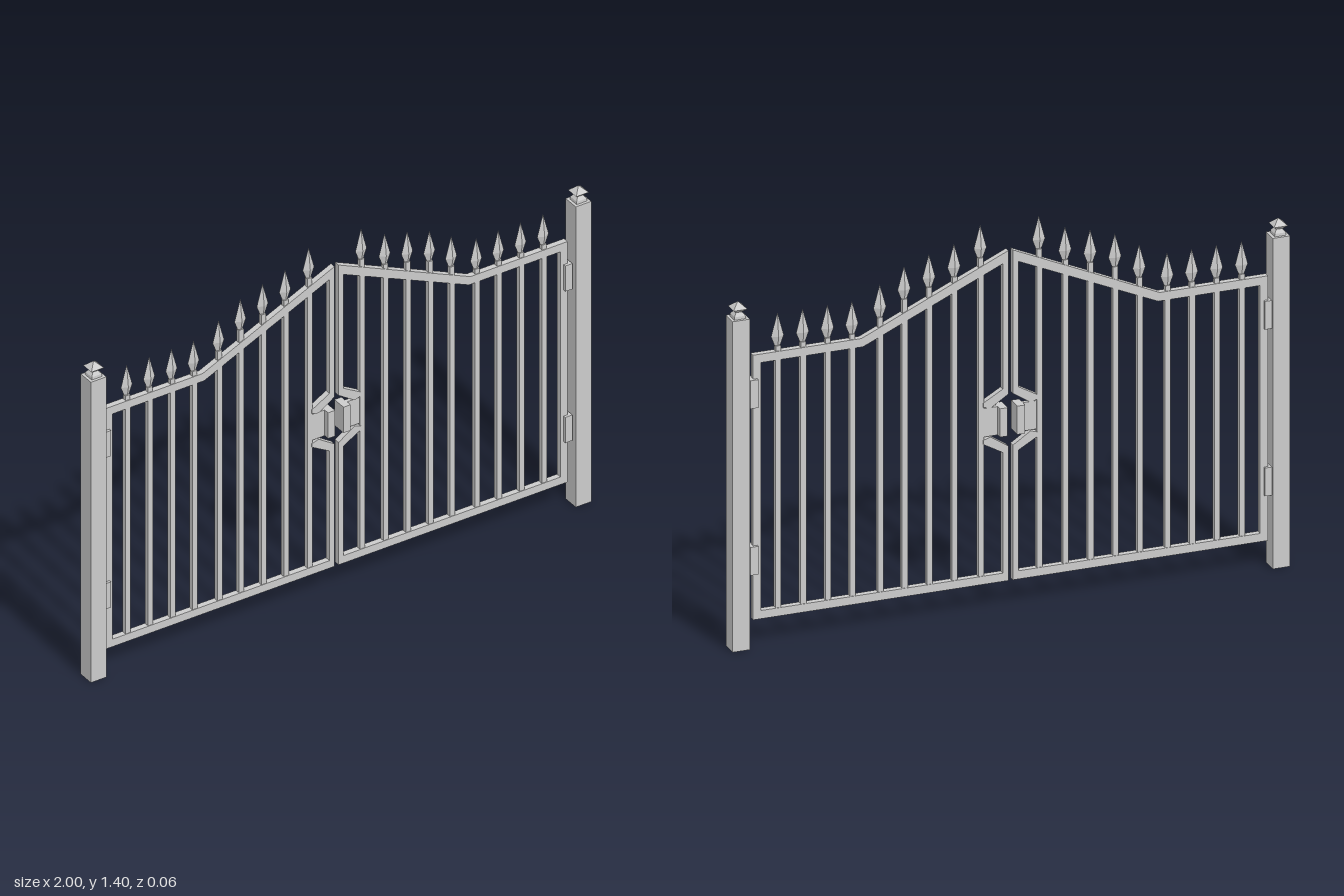
import * as THREE from 'three';

const material = new THREE.MeshStandardMaterial({ color: 0xcccccc, flatShading: true });

function add(parent, name, geometry, x = 0, y = 0, z = 0) {
  const mesh = new THREE.Mesh(geometry, material);
  mesh.name = name;
  mesh.position.set(x, y, z);
  parent.add(mesh);
  return mesh;
}

// Box given by its x and y limits and its full depth, centred on z = 0
function bar(parent, name, x0, x1, y0, y1, depth) {
  const geometry = new THREE.BoxGeometry(Math.abs(x1 - x0), y1 - y0, depth);
  return add(parent, name, geometry, (x0 + x1) / 2, (y0 + y1) / 2);
}

// Flat outline in the gate plane, extruded symmetrically about z = 0
function plate(parent, name, points, depth) {
  const shape = new THREE.Shape(points.map(([x, y]) => new THREE.Vector2(x, y)));
  const geometry = new THREE.ExtrudeGeometry(shape, { depth, bevelEnabled: false });
  geometry.translate(0, 0, -depth / 2);
  return add(parent, name, geometry);
}

// Distances are measured outward from the line where the leaves meet
const OUTER = 0.923, INNER = 0.008, KINK = 0.535;
const RAIL = 1.058, PEAK = 1.295, DEPTH = 0.022;
const railTop = (d) => (d > KINK ? RAIL : RAIL + ((KINK - d) / (KINK - INNER)) * (PEAK - RAIL));

// Picket distance and spear tip height
const pickets = [
  [0.832, 1.195], [0.742, 1.195], [0.653, 1.195], [0.565, 1.195], [0.465, 1.24],
  [0.378, 1.293], [0.289, 1.322], [0.199, 1.346], [0.105, 1.4],
];

// Flattened four-sided spearhead on a short shank
function spear(parent, x, tip) {
  const profile = [[0, -0.122], [0.009, -0.122], [0.023, -0.085], [0, 0]]
    .map(([r, y]) => new THREE.Vector2(r, y));
  const geometry = new THREE.LatheGeometry(profile, 4);
  geometry.scale(1, 1, 0.48);
  add(parent, 'spearhead', geometry, x, tip);
}

function createLeaf(side) {
  const leaf = new THREE.Group();
  leaf.name = side > 0 ? 'leftLeaf' : 'rightLeaf';
  leaf.position.x = -0.005;
  const s = (d) => side * d;
  const flip = (points) => points.map(([d, y]) => [s(d), y]);

  // Frame
  bar(leaf, 'bottomRail', s(INNER), s(OUTER), 0.097, 0.127, DEPTH);
  bar(leaf, 'outerStile', s(OUTER - 0.028), s(OUTER), 0.127, 1.03, DEPTH);
  plate(leaf, 'topRail', flip([
    [OUTER, RAIL], [KINK, RAIL], [INNER, PEAK],
    [INNER, PEAK - 0.036], [KINK - 0.006, RAIL - 0.031], [OUTER, RAIL - 0.031],
  ]), DEPTH);
  bar(leaf, 'innerStileLower', s(INNER), s(INNER + 0.02), 0.127, 0.58, DEPTH);
  bar(leaf, 'innerStileUpper', s(INNER), s(INNER + 0.02), 0.78, 1.26, DEPTH);

  // Pickets with spearheads
  for (const [d, tip] of pickets) {
    bar(leaf, 'picket', s(d - 0.01), s(d + 0.01), 0.127, railTop(d) - 0.02, 0.018);
    bar(leaf, 'spearShank', s(d - 0.009), s(d + 0.009), railTop(d) - 0.025, tip - 0.118, 0.016);
    spear(leaf, s(d), tip);
  }

  // Slanted braces around the latch, mirrored about its middle height
  const mid = 0.68;
  for (const v of [1, -1]) {
    plate(leaf, 'latchBrace', flip([
      [INNER, mid + v * 0.115], [INNER + 0.02, mid + v * 0.115], [0.098, mid + v * 0.075],
      [0.098, mid + v * 0.06], [0.072, mid + v * 0.052], [INNER, mid + v * 0.094],
    ]), DEPTH);
  }
  bar(leaf, 'latchPlate', s(0.04), s(0.1), mid - 0.05, mid + 0.053, 0.014);
  bar(leaf, 'latchBlock', s(0.017), s(0.045), mid - 0.05, mid + 0.053, 0.056);

  // Hinges
  for (const y of [0.315, 0.92]) {
    bar(leaf, 'hinge', s(0.908), s(0.936), y - 0.051, y + 0.051, 0.042);
  }
  return leaf;
}

function createPost(side) {
  const post = new THREE.Group();
  post.name = side > 0 ? 'leftPost' : 'rightPost';
  post.position.x = side * 0.969;
  bar(post, 'postShaft', -0.031, 0.031, 0, 1.2, 0.062);

  // Square finial: flared foot, narrow neck, pyramid cap
  const profile = [[0.021, 1.198], [0.02, 1.21], [0.011, 1.222], [0.025, 1.235], [0.008, 1.251], [0, 1.258]]
    .map(([half, y]) => new THREE.Vector2(half * Math.SQRT2, y));
  const geometry = new THREE.LatheGeometry(profile, 4);
  geometry.rotateY(Math.PI / 4);
  add(post, 'finial', geometry);
  return post;
}

export function createModel() {
  const gate = new THREE.Group();
  gate.name = 'gate';
  for (const side of [1, -1]) gate.add(createPost(side), createLeaf(side));
  return gate;
}
